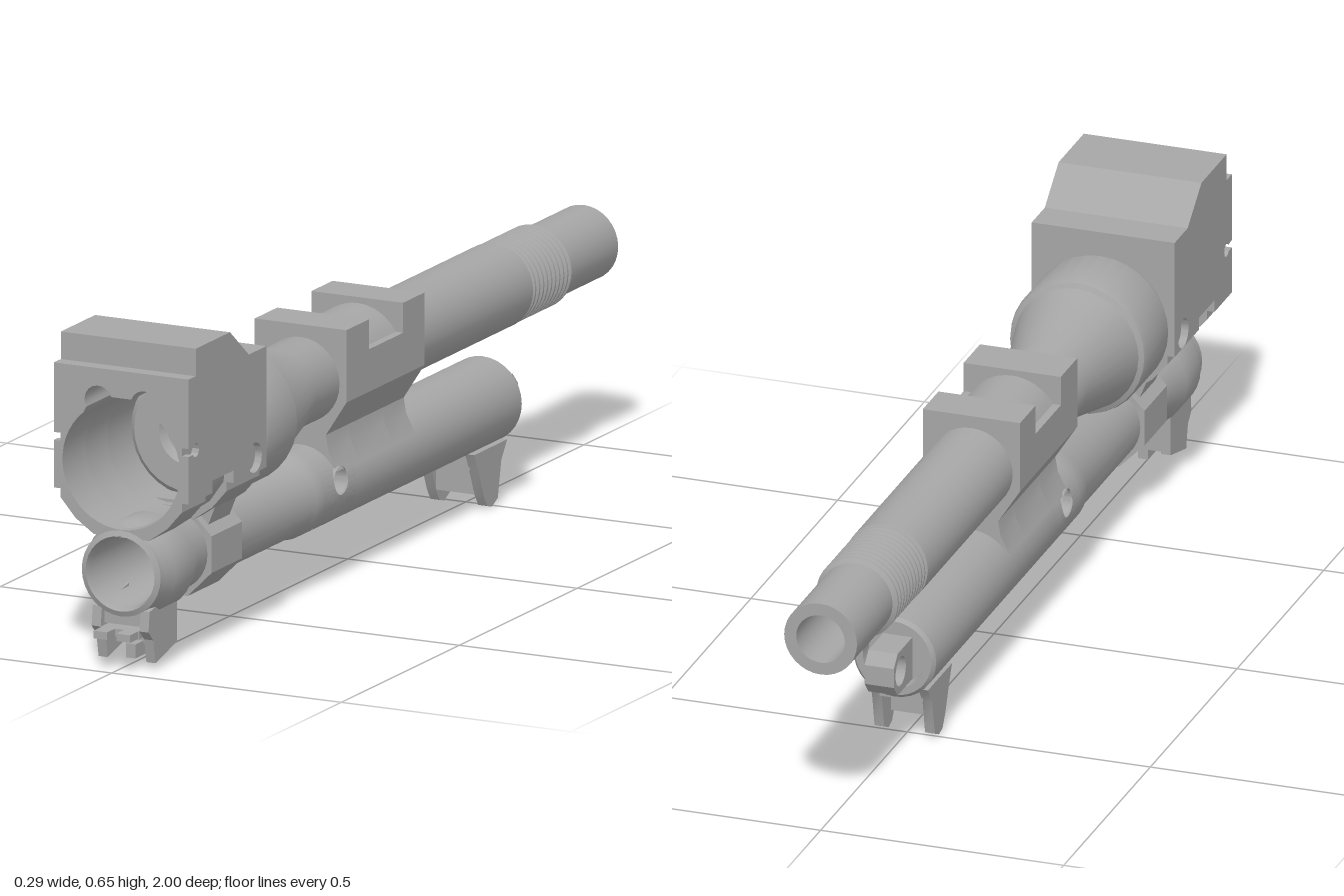
import * as THREE from 'three';
import { toCreasedNormals } from 'three/addons/utils/BufferGeometryUtils.js';
import { ParametricGeometry } from 'three/addons/geometries/ParametricGeometry.js';

const BARREL_Y = 0.405, TUBE_Y = 0.19;
const rad = THREE.MathUtils.degToRad;

export function createModel() {
  const model = new THREE.Group();
  const steel = new THREE.MeshStandardMaterial({ color: 0xa6a6a6, side: THREE.DoubleSide });
  steel.name = 'steel grey';

  function add(name, geometry) {
    const mesh = new THREE.Mesh(toCreasedNormals(geometry, 0.5), steel);
    mesh.name = name;
    model.add(mesh);
    return mesh;
  }
  const toShape = (pts) => new THREE.Shape(pts.map((p) => new THREE.Vector2(p[0], p[1])));
  const mirrored = (half) => [...half, ...half.slice().reverse().map(([x, y]) => [-x, y])];
  function arc(cx, cy, r, from, to, n) {
    return Array.from({ length: n + 1 }, (_, i) => {
      const a = rad(from + ((to - from) * i) / n);
      return [cx + r * Math.cos(a), cy + r * Math.sin(a)];
    });
  }
  function solid(pts, holes, depth) {
    const shape = toShape(pts);
    holes.forEach((h) => shape.holes.push(toShape(h)));
    return new THREE.ExtrudeGeometry(shape, { depth, bevelEnabled: false });
  }
  // front outline (x, y) swept along z
  const sweepZ = (name, pts, z0, z1, holes = []) =>
    add(name, solid(pts, holes, z1 - z0).translate(0, 0, z0));
  // side outline (z, y) swept along x
  const sweepX = (name, pts, x0, x1, holes = []) =>
    add(name, solid(pts, holes, x1 - x0).rotateY(-Math.PI / 2).translate(x1, 0, 0));
  // (radius, z) profile turned around an axis at height y
  const turned = (name, pts, y, sides = 32) =>
    add(name, new THREE.LatheGeometry(pts.map((p) => new THREE.Vector2(p[0], p[1])), sides)
      .rotateX(Math.PI / 2).translate(0, y, 0));
  const box = (name, x0, x1, y0, y1, z0, z1) =>
    add(name, new THREE.BoxGeometry(x1 - x0, y1 - y0, z1 - z0)
      .translate((x0 + x1) / 2, (y0 + y1) / 2, (z0 + z1) / 2));

  // Main barrel: muzzle, threads, shank, cone and chamber, with an open bore
  const threads = [];
  const count = 10, pitch = 0.17 / count;
  for (let i = 0; i < count; i++) {
    const z = -0.795 + i * pitch;
    threads.push([0.075, z], [0.084, z + pitch * 0.35], [0.084, z + pitch * 0.65]);
  }
  turned('barrel', [
    [0.05, -1], [0.075, -1], [0.075, -0.8], ...threads, [0.075, -0.625],
    [0.085, -0.62], [0.085, 0.3], [0.128, 0.475], [0.138, 0.48], [0.141, 0.49],
    [0.141, 0.61], [0.133, 0.625], [0.127, 0.64], [0.127, 0.67], [0.116, 0.68],
    [0.062, 0.68], [0.05, 0.665], [0.05, -1],
  ], BARREL_Y);

  // Receiver: cavity outline with two round ears at the top
  const ear = arc(0.05, 0.53, 0.03, -30, 160, 10);
  const cavity = [
    ...ear, ...ear.slice().reverse().map(([x, y]) => [-x, y]),
    ...arc(0, BARREL_Y, 0.128, 130, 410, 36),
  ];
  const fullHalf = [[0.132, 0.57], [0.132, 0.327], [0.1, 0.29], [0.06, 0.262]];
  const waistHalf = [[0.132, 0.57], [0.132, 0.4], [0.125, 0.345], [0.095, 0.303], [0.05, 0.272]];
  sweepZ('receiverBack', mirrored(fullHalf), 0.63, 0.65, [arc(0, BARREL_Y, 0.11, 0, 350, 35)]);
  sweepZ('receiverRearShell', mirrored(fullHalf), 0.65, 0.77, [cavity]);
  sweepZ('receiverWaistShell', mirrored(waistHalf), 0.77, 0.86, [cavity]);
  sweepZ('receiverFrontShell', mirrored(fullHalf), 0.86, 0.96, [cavity]);

  // Receiver roof and side walls with an eyelet, slot and lower notch
  sweepX('receiverRoof', [
    [0.63, 0.565], [0.96, 0.565], [0.96, 0.595], [0.93, 0.595], [0.93, 0.65],
    [0.785, 0.65], [0.705, 0.587], [0.63, 0.587],
  ], -0.147, 0.147);
  const wall = [
    [0.63, 0.345], [0.77, 0.345], [0.77, 0.37], [0.86, 0.37], [0.86, 0.345], [0.96, 0.345],
    [0.96, 0.44], ...arc(0.93, 0.447, 0.014, -30, -330, 8), [0.96, 0.456],
    [0.96, 0.565], [0.63, 0.565],
  ];
  const eyelet = arc(0.68, 0.375, 0.03, 0, 345, 23);
  sweepX('leftWall', wall, 0.13, 0.147, [eyelet]);
  sweepX('rightWall', wall, -0.147, -0.13, [eyelet]);

  // Clamp block joining barrel and lower tube
  const clampFoot = [[0.1, 0.37], [0.055, 0.3], [0.06, 0.27], [0.08, 0.23]];
  const lug = mirrored([[0.1, 0.515], ...clampFoot]);
  sweepZ('clampRearLug', lug, -0.13, -0.04);
  sweepZ('clampFrontLug', lug, 0.105, 0.2);
  const saddle = arc(0, BARREL_Y, 0.098, 90, 31, 8);
  sweepZ('clampSaddle', mirrored([...saddle, [0.1, 0.455], ...clampFoot]), -0.04, 0.105);

  // Lower tube: closed rear part and hollow front part
  turned('lowerTubeRear', [
    [0, -0.555], [0.06, -0.555], [0.063, -0.58], [0.078, -0.58], [0.085, -0.572], [0.085, 0.13],
  ], TUBE_Y);
  turned('lowerTubeFront', [
    [0.085, 0.25], [0.085, 0.295], [0.08, 0.305], [0.08, 0.79], [0.097, 0.84], [0.097, 0.92],
    [0.086, 0.945], [0.086, 0.96], [0.075, 0.965], [0.07, 0.95], [0.07, 0.4], [0, 0.4],
  ], TUBE_Y);

  // Tube section with a cross hole: a patch from hole rim to border, wrapped round the tube
  const R = 0.085, holeR = 0.028, holeS = 0.02, holeZ = 0.19;
  for (const side of [1, -1]) {
    const patch = new ParametricGeometry((u, v, target) => {
      const a = side * u * Math.PI * 2, c = Math.cos(a), s = Math.sin(a);
      const edgeS = (s > 0 ? 0.14 - holeS : 0.14 + holeS) / Math.max(Math.abs(s), 1e-6);
      const reach = Math.min(0.064 / Math.max(Math.abs(c), 1e-6), edgeS);
      const d = THREE.MathUtils.lerp(holeR, reach, v);
      const theta = (holeS + d * s) / R;
      target.set(side * R * Math.cos(theta), TUBE_Y + R * Math.sin(theta), holeZ + d * c);
    }, 96, 10);
    add(side > 0 ? 'leftHoleSection' : 'rightHoleSection', patch);
  }
  add('crossHoleLining', new THREE.CylinderGeometry(holeR, holeR, 0.162, 24, 1, true)
    .rotateZ(Math.PI / 2).translate(0, TUBE_Y + holeS, holeZ));

  // Faceted collar and its bridge to the receiver
  const collarHole = arc(0, TUBE_Y, 0.079, 0, 345, 23);
  sweepZ('tubeCollar', arc(0, TUBE_Y, 0.096, 22.5, 337.5, 7), 0.62, 0.75, [collarHole]);
  sweepZ('collarBridge', mirrored([[0.088, 0.285], [0.068, 0.235], [0.075, 0.225]]), 0.64, 0.73,
    [collarHole.filter(() => false)].filter((h) => h.length));

  // Rear eye on the tube end
  sweepX('rearEye', [
    [-0.55, 0.14], [-0.64, 0.14], [-0.662, 0.165], [-0.662, 0.205], [-0.64, 0.228], [-0.55, 0.228],
  ], -0.03, 0.03, [arc(-0.622, 0.184, 0.03, 0, 340, 17)]);

  // Feet: paired cheeks with a web between them
  const rearCheek = [
    [-0.415, 0.12], [-0.43, 0.09], [-0.455, 0.03], [-0.47, 0.006], [-0.49, 0],
    [-0.515, 0.012], [-0.53, 0.085], [-0.555, 0.12],
  ];
  const frontCheek = [
    [0.845, 0.14], [0.845, 0.035], [0.935, 0.012], [0.945, 0.06], [0.965, 0.08], [0.96, 0.12],
  ];
  for (const s of [1, -1]) {
    const [x0, x1] = s > 0 ? [0.042, 0.062] : [-0.062, -0.042];
    const label = s > 0 ? 'left' : 'right';
    sweepX(label + 'RearFoot', rearCheek, x0, x1);
    sweepX(label + 'FrontFoot', frontCheek, x0, x1);
    box(label + 'FrontTab', s > 0 ? 0.01 : -0.04, s > 0 ? 0.04 : -0.01, 0.065, 0.08, 0.965, 1);
  }
  box('rearFootWeb', -0.045, 0.045, 0.03, 0.12, -0.475, -0.455);
  box('rearFootTop', -0.045, 0.045, 0.085, 0.12, -0.535, -0.43);
  box('frontFootWeb', -0.045, 0.045, 0.035, 0.12, 0.855, 0.885);
  box('frontFootTop', -0.045, 0.045, 0.085, 0.12, 0.85, 0.95);
  box('frontTabBase', -0.042, 0.042, 0.065, 0.08, 0.88, 0.967);
  box('frontFootStud', -0.01, 0.01, 0.012, 0.04, 0.86, 0.92);

  return model;
}
